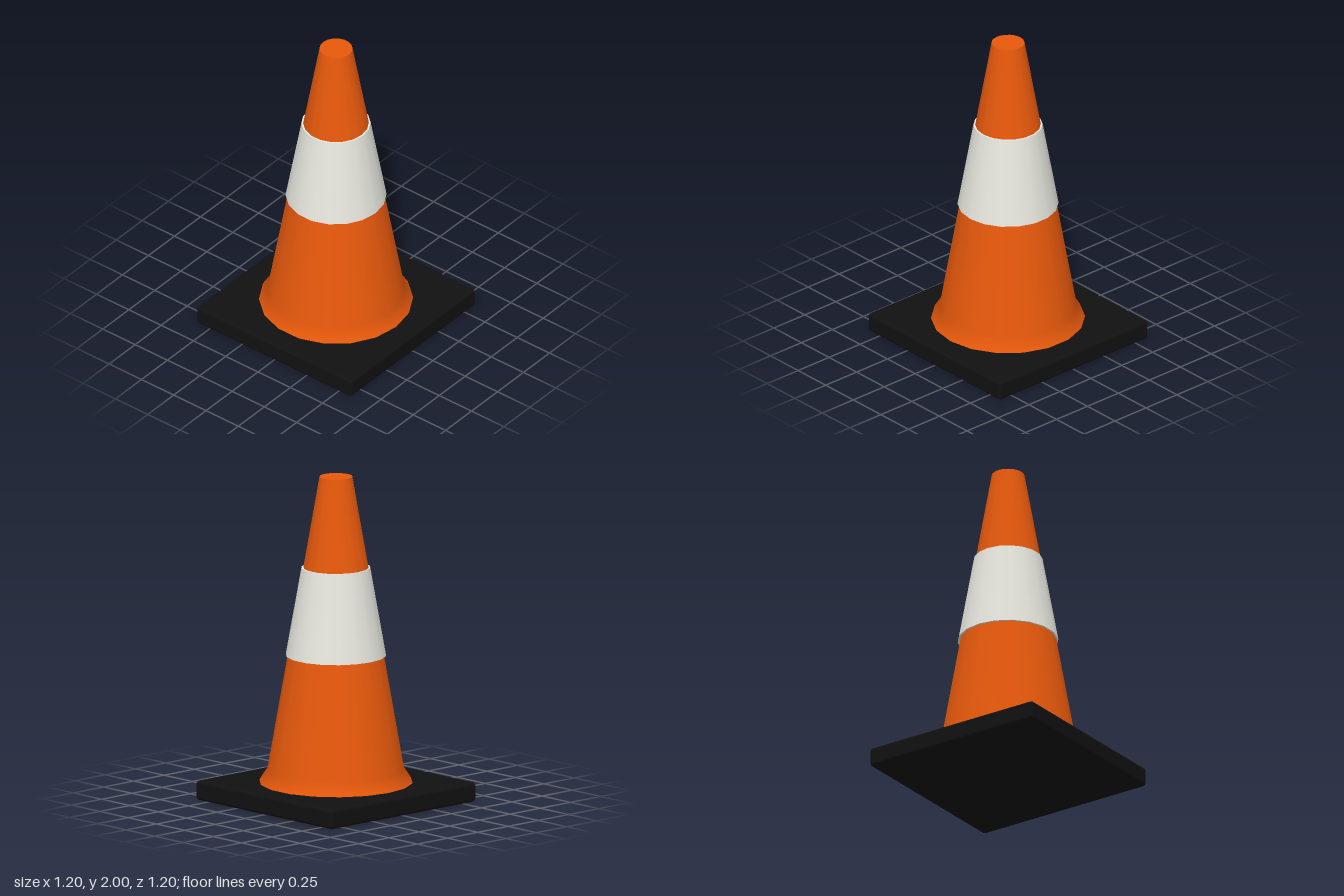
import * as THREE from 'three';
import { RoundedBoxGeometry } from 'three/addons/geometries/RoundedBoxGeometry.js';

const SIDES = 18;

function material(name, color) {
  const m = new THREE.MeshStandardMaterial({ color });
  m.name = name;
  return m;
}

// Surface of revolution, turned so that a corner points along x
function revolve(points) {
  const profile = points.map(([r, y]) => new THREE.Vector2(r, y));
  return new THREE.LatheGeometry(profile, SIDES).rotateY(Math.PI / 2);
}

export function createModel() {
  const orange = material('orange plastic', 0xe8590c);
  const white = material('reflective white', 0xe8e8e0);
  const black = material('black rubber', 0x111111);

  const cone = new THREE.Group();
  cone.name = 'trafficCone';
  const add = (name, geometry, mat, y = 0) => {
    const mesh = new THREE.Mesh(geometry, mat);
    mesh.name = name;
    mesh.position.y = y;
    cone.add(mesh);
  };

  // Square foot with softened edges
  add('base', new RoundedBoxGeometry(1.2, 0.12, 1.2, 3, 0.02), black, 0.06);

  // Tapered body with a flared skirt, closed by a flat top
  add('body', revolve([[0.465, 0.12], [0.415, 0.2], [0.1, 2]]), orange);
  add('topCap', new THREE.CircleGeometry(0.1, SIDES).rotateX(-Math.PI / 2), orange, 2);

  // Reflective sleeve, standing slightly proud of the body
  const sleeve = new THREE.CylinderGeometry(0.209, 0.305, 0.54, SIDES).rotateY(Math.PI / 2);
  add('reflectiveSleeve', sleeve, white, 1.17);

  return cone;
}
